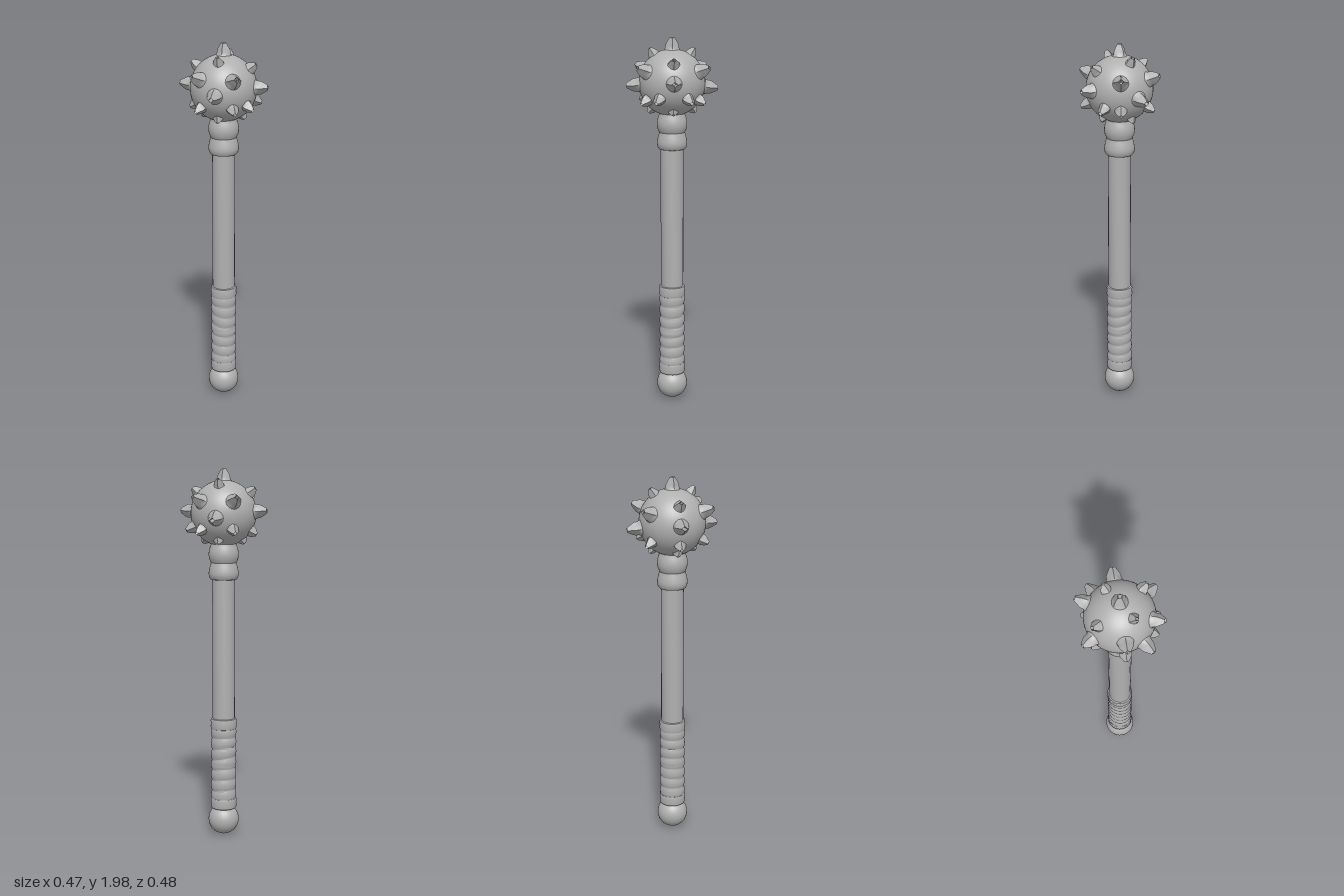
import * as THREE from 'three';
import { toCreasedNormals } from 'three/addons/utils/BufferGeometryUtils.js';

const CENTER_Y = 1.75;

export function createModel() {
  const model = new THREE.Group();
  model.name = 'spikedMace';
  const metal = new THREE.MeshStandardMaterial({ color: 0xb0b0b0 });
  metal.name = 'grey metal';

  const add = (name, geometry, y = 0, parent = model) => {
    const mesh = new THREE.Mesh(geometry, metal);
    mesh.name = name;
    mesh.position.y = y;
    parent.add(mesh);
    return mesh;
  };
  const lathe = (profile, sides = 32) => toCreasedNormals(
    new THREE.LatheGeometry(profile.map(([r, y]) => new THREE.Vector2(r, y)), sides), 0.75);

  // Pommel and shaft
  add('pommel', new THREE.SphereGeometry(0.083, 32, 20), 0.083);
  add('shaft', lathe([[0.061, 0.6], [0.061, 1.42]], 20));

  // Grip end bands
  const band = [[0.06, 0], [0.068, 0.004], [0.071, 0.014], [0.069, 0.03], [0.071, 0.048], [0.068, 0.058], [0.058, 0.062]];
  add('lowerGripBand', lathe(band), 0.145);
  add('upperGripBand', lathe(band), 0.588);

  // Grip wrapping: slanted, softly bulging turns
  const wrap = new THREE.CylinderGeometry(1, 1, 0.41, 32, 84, true);
  const wp = wrap.attributes.position;
  for (let i = 0; i < wp.count; i++) {
    const x = wp.getX(i), y = wp.getY(i), z = wp.getZ(i);
    const fade = 1 - Math.pow(Math.abs(y) / 0.205, 2);
    const slant = (0.009 * x + 0.005 * z + 0.004 * Math.sin(y * 25) * x) * fade;
    const r = 0.0625 + 0.0065 * Math.pow(Math.abs(Math.sin(Math.PI * (y + 0.205 + slant) / 0.0586)), 0.6);
    wp.setXYZ(i, x * r, y, z * r);
  }
  add('gripWrap', toCreasedNormals(wrap, 0.9), 0.395);

  // Collar rings below the head
  add('lowerCollar', lathe([[0.06, 1.4], [0.07, 1.402], [0.077, 1.412], [0.08, 1.43], [0.079, 1.445],
    [0.074, 1.468], [0.07, 1.482], [0.066, 1.5]]));
  add('upperCollar', lathe([[0.064, 1.482], [0.07, 1.494], [0.077, 1.51], [0.08, 1.53], [0.079, 1.55],
    [0.073, 1.572], [0.068, 1.585], [0.064, 1.62]]));

  // Head
  const head = new THREE.Group();
  head.name = 'head';
  head.position.y = CENTER_Y;
  model.add(head);
  add('ball', new THREE.SphereGeometry(0.174, 48, 32), 0, head);

  // Spike: round flared root turning into a four-sided point
  const spikeGeometry = (length, width) => {
    const tip = length - 0.155;
    const profile = [[1.3, 0], [1.08, 0.16], [0.97, 0.28], [0.94, 0.42], [0.72, 0.58], [0.36, 0.8], [0, 1]];
    const g = new THREE.LatheGeometry(profile.map(([r, t]) => new THREE.Vector2(r * width, t * tip)), 16);
    const p = g.attributes.position;
    for (let i = 0; i < p.count; i++) {
      const x = p.getX(i), y = p.getY(i), z = p.getZ(i);
      const r = Math.hypot(x, z);
      if (r < 1e-6) continue;
      const square = r / (Math.abs(x) + Math.abs(z));
      const k = THREE.MathUtils.lerp(1, square, THREE.MathUtils.smoothstep(y / tip, 0.1, 0.42));
      p.setXYZ(i, x * k, y + 0.155, z * k);
    }
    return toCreasedNormals(g, 0.6);
  };
  const addSpike = (x, y, z, width) => {
    const tip = new THREE.Vector3(x, y - CENTER_Y, z);
    const dir = tip.clone().normalize();
    const up = Math.abs(dir.y) > 0.99 ? new THREE.Vector3(0, 0, 1) : new THREE.Vector3(0, 1, 0);
    const side = up.cross(dir).normalize();
    const mesh = add('spike', spikeGeometry(tip.length(), width), 0, head);
    mesh.quaternion.setFromRotationMatrix(
      new THREE.Matrix4().makeBasis(side, dir, side.clone().cross(dir)));
  };

  addSpike(0, 2, 0, 0.037);
  addSpike(0, 1.735, 0.26, 0.037);
  addSpike(0, 1.717, -0.26, 0.037);
  addSpike(-0.19, 1.632, 0, 0.031);
  for (const s of [-1, 1]) {
    addSpike(s * 0.253, 1.765, 0, 0.037);
    addSpike(s * 0.182, 1.89, 0, 0.031);
    addSpike(0, 1.94, s * 0.125, 0.028);
    addSpike(s * 0.12, 1.585, 0, 0.027);
    addSpike(0, 1.585, s * 0.13, 0.027);
    addSpike(0.192, 1.655, s * 0.098, 0.031);
    for (const f of [-1, 1]) {
      addSpike(s * 0.128, 1.843, f * 0.2, 0.037);
      addSpike(s * 0.11, 1.643, f * 0.175, 0.031);
    }
  }
  return model;
}
